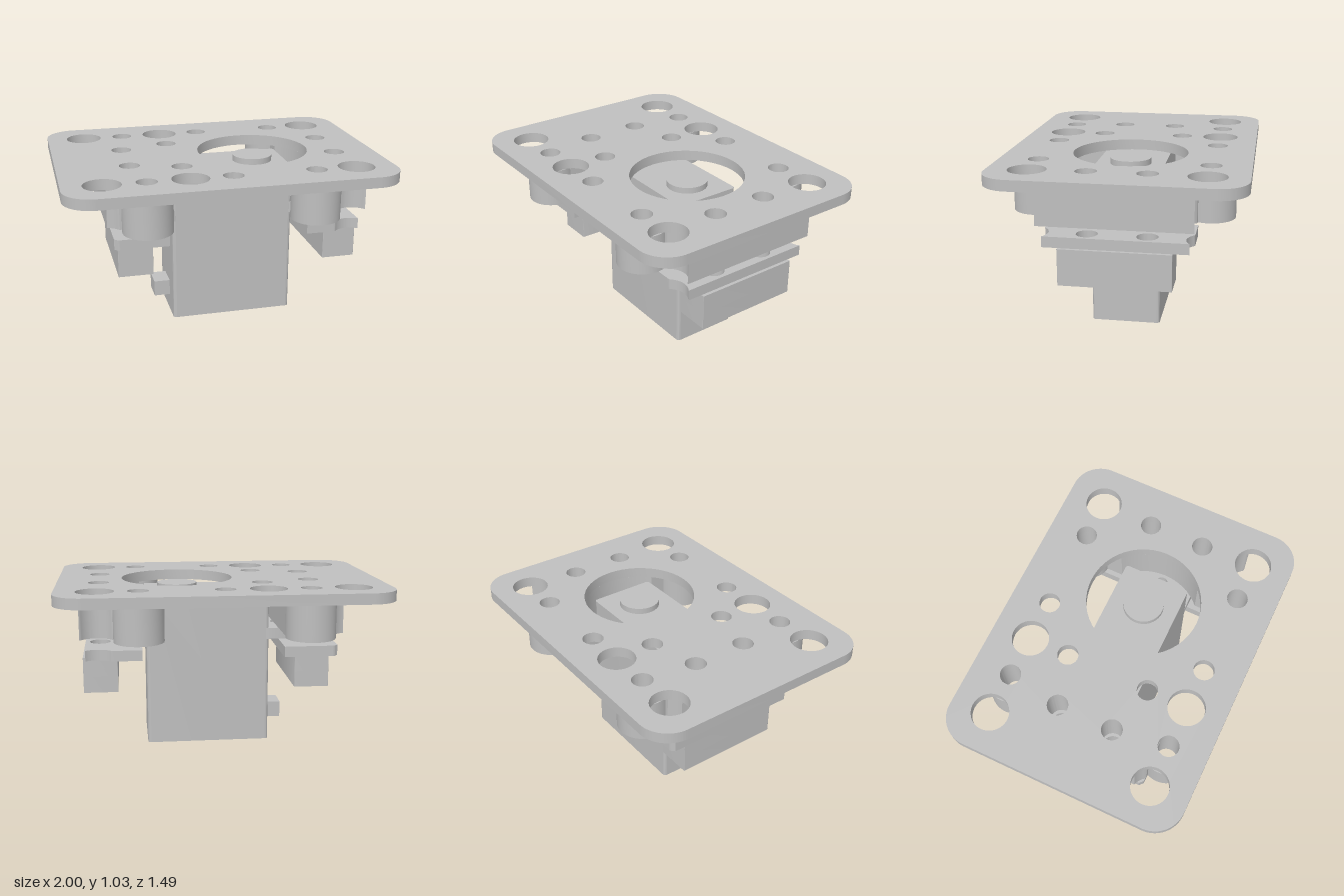
import * as THREE from 'three';
import { toCreasedNormals } from 'three/addons/utils/BufferGeometryUtils.js';

const BIG = 0.112, SMALL = 0.063;
const bigX = [-0.765, -0.255, 0.76];
const ring = { x: 0.255, z: 0, r: 0.35 };

export function createModel() {
  const group = new THREE.Group();
  const grey = new THREE.MeshStandardMaterial({ color: 0xbfbfbf });
  grey.name = 'plain grey';

  function add(name, geometry) {
    const mesh = new THREE.Mesh(geometry, grey);
    mesh.name = name;
    group.add(mesh);
    return mesh;
  }

  // a plan outline (x, z) raised from y0 to y1
  function slab(name, shape, y0, y1, holes = []) {
    for (const h of holes) {
      const path = new THREE.Path();
      if (h.sides) {
        path.setFromPoints(Array.from({ length: h.sides + 1 }, (_, i) => {
          const a = Math.PI / 2 - (i / h.sides) * Math.PI * 2;
          return new THREE.Vector2(h.x + h.r * Math.cos(a), h.z + h.r * Math.sin(a));
        }));
      } else path.absarc(h.x, h.z, h.r, 0, Math.PI * 2, true);
      shape.holes.push(path);
    }
    const geo = new THREE.ExtrudeGeometry(shape, { depth: y1 - y0, bevelEnabled: false, curveSegments: 24 });
    geo.rotateX(-Math.PI / 2);
    geo.translate(0, y0, 0);
    return add(name, toCreasedNormals(geo, 0.6));
  }

  // rectangle with rounded corners
  function rounded(x0, x1, z, r) {
    const s = new THREE.Shape();
    s.absarc(x1 - r, z - r, r, 0, Math.PI / 2);
    s.absarc(x0 + r, z - r, r, Math.PI / 2, Math.PI);
    s.absarc(x0 + r, -z + r, r, Math.PI, Math.PI * 1.5);
    s.absarc(x1 - r, -z + r, r, Math.PI * 1.5, Math.PI * 2);
    s.closePath();
    return s;
  }

  // rectangle whose ends are scooped out around the big plate holes
  function notched(x0, x1, zMax, scoopInner = false) {
    const edge = x => bigX.reduce((z, cx) => {
      const d = BIG * BIG - (x - cx) ** 2;
      return d > 0 ? Math.min(z, 0.51 - Math.sqrt(d)) : z;
    }, zMax);
    const end = [];
    for (let i = 0; i <= 48; i++) {
      const x = x1 + (x0 - x1) * i / 48;
      end.push(new THREE.Vector2(x, edge(x)));
    }
    const pts = [...end];
    if (scoopInner) {
      const a = Math.acos((x0 - ring.x) / ring.r);
      for (let i = 0; i <= 24; i++) {
        const t = a - 2 * a * i / 24;
        pts.push(new THREE.Vector2(ring.x + ring.r * Math.cos(t), ring.r * Math.sin(t)));
      }
    }
    for (const p of end.reverse()) pts.push(new THREE.Vector2(p.x, -p.y));
    return new THREE.Shape(pts);
  }

  const pair = (x, z, r, sides) => [{ x, z, r, sides }, { x, z: -z, r, sides }];

  // top plate
  slab('topPlate', rounded(-1, 1, 0.745, 0.18), 0.965, 1.03, [
    ring,
    ...bigX.flatMap(x => pair(x, 0.51, BIG)),
    ...[-0.51, 0, 0.51].flatMap(x => pair(x, 0.51, SMALL)),
    ...pair(-0.56, 0.175, SMALL), ...pair(0.745, 0.175, SMALL),
    ...pair(-0.255, 0.26, SMALL),
  ]);

  // round posts under the plate
  for (const x of [-0.51, 0.51]) for (const z of [-0.51, 0.51]) {
    const disc = new THREE.Shape().absarc(x, z, 0.15, 0, Math.PI * 2);
    slab('post', disc, 0.73, 0.965, [{ x, z, r: SMALL }]);
  }

  // spacer bars, clamp plates and nut blocks on each side
  const sides = [
    { name: 'right', bar: [-0.735, -0.37], clamp: [-0.7, -0.37], block: [-0.67, -0.455], bolt: -0.56 },
    { name: 'left', bar: [0.49, 0.86], clamp: [0.49, 0.83], block: [0.64, 0.85], bolt: 0.745 },
  ];
  for (const s of sides) {
    const bolts = pair(s.bolt, 0.175, SMALL);
    slab(s.name + 'SpacerBar', notched(...s.bar, 0.45, s.name === 'left'), 0.73, 0.965, bolts);
    slab(s.name + 'ClampPlate', notched(...s.clamp, 0.44), 0.595, 0.66, bolts);
    slab(s.name + 'NutBlock', rounded(...s.block, 0.33, 0.002), 0.475, 0.595, bolts);
    slab(s.name + 'NutPockets', rounded(...s.block, 0.33, 0.002), 0.375, 0.475, pair(s.bolt, 0.175, 0.105, 6));
  }

  // motor: body, mounting tabs, output boss and cable stub
  slab('motorBody', rounded(-0.31, 0.46, 0.21, 0.02), 0, 0.963);
  slab('leftTab', rounded(0.44, 0.63, 0.21, 0.002), 0.66, 0.73, [{ x: 0.545, z: 0, r: 0.04 }]);
  slab('rightTab', rounded(-0.475, -0.29, 0.21, 0.002), 0.66, 0.73, [{ x: -0.39, z: 0, r: 0.04 }]);
  add('outputBoss', new THREE.CylinderGeometry(0.125, 0.125, 0.05, 40)).position.set(0.255, 0.975, 0);
  add('cableStub', new THREE.BoxGeometry(0.11, 0.1, 0.15)).position.set(-0.355, 0.155, 0);

  return group;
}
